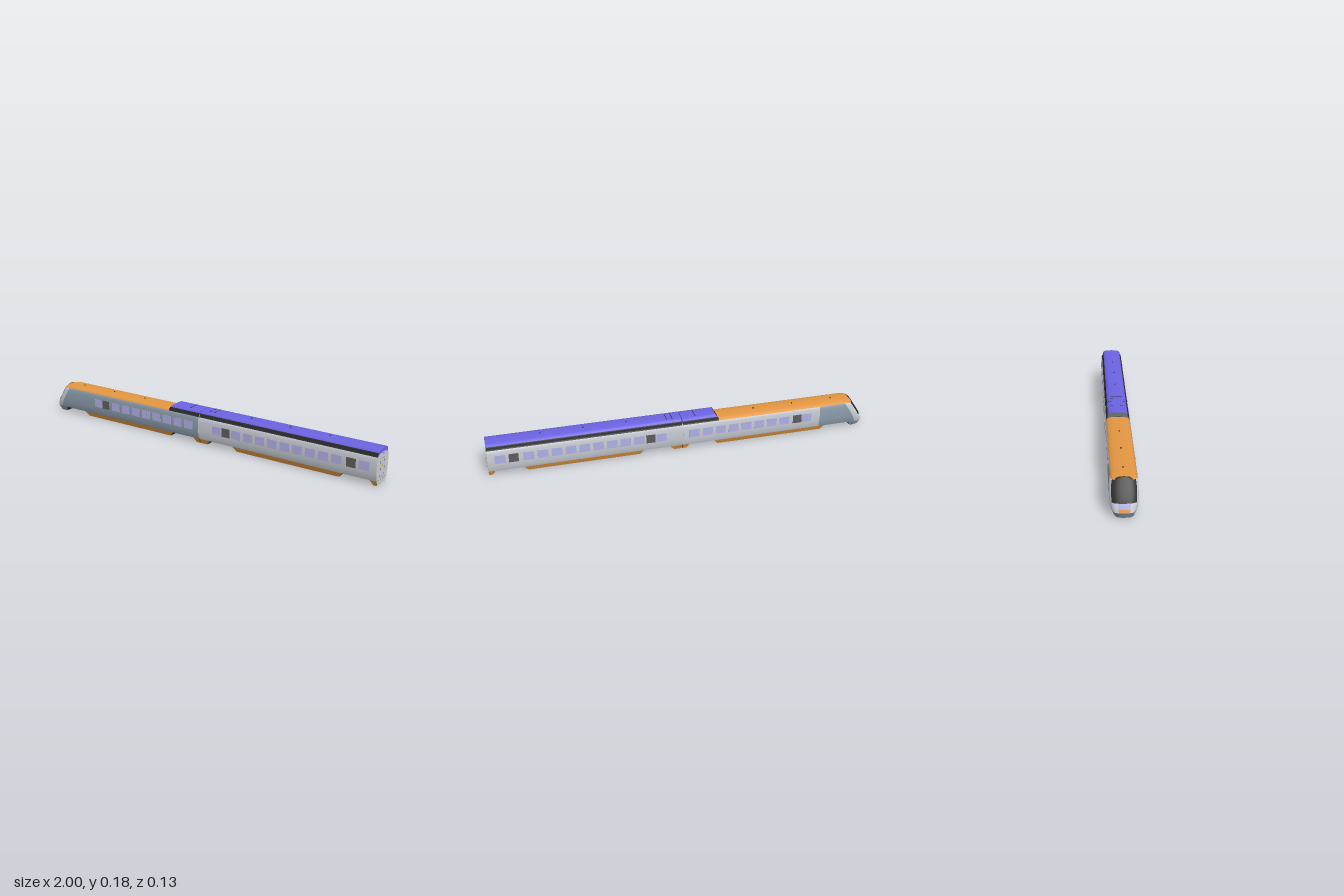
import * as THREE from 'three';
import { toCreasedNormals } from 'three/addons/utils/BufferGeometryUtils.js';

const mat = (name, color) => {
  const m = new THREE.MeshStandardMaterial({ color });
  m.name = name;
  return m;
};
const grey = mat('light grey', 0xc9ced5), slate = mat('slate', 0x8e9eae), orange = mat('orange', 0xe39641);
const purple = mat('purple', 0x6c63e2), black = mat('black', 0x2e2e2e), glass = mat('lavender glass', 0xb0b0e4);
const dark = mat('dark grey', 0x5c5c5c), yellow = mat('yellow', 0xd6c234);

// Lofts a mirrored half profile [z, y] along x.
// place(i, z, y) gives a point, pick(i, k, front, y) a material per strip.
function loft(name, half, stations, place, pick, caps) {
  const m = half.length;
  const ring = [...half, ...half.slice(1, -1).reverse().map(([z, y]) => [-z, y])];
  const n = ring.length;
  const buckets = new Map();
  const add = (material, ...pts) => {
    if (!buckets.has(material)) buckets.set(material, []);
    for (const p of pts) buckets.get(material).push(...p);
  };
  const P = (i, j) => place(i, ring[j % n][0], ring[j % n][1]);
  for (let i = 0; i < stations - 1; i++) {
    for (let j = 0; j < n; j++) {
      const a = P(i, j), b = P(i + 1, j), c = P(i + 1, j + 1), d = P(i, j + 1);
      const y = (ring[j][1] + ring[(j + 1) % n][1]) / 2;
      const material = pick(i, Math.min(j, n - 1 - j), j < m - 1, y);
      add(material, a, b, c, a, c, d);
    }
  }
  [0, stations - 1].forEach((i, e) => {
    if (!caps[e]) return;
    const centre = [0, 0, 0];
    for (let j = 0; j < n; j++) P(i, j).forEach((v, q) => { centre[q] += v / n; });
    for (let j = 0; j < n; j++) {
      if (e) add(caps[e], centre, P(i, j + 1), P(i, j));
      else add(caps[e], centre, P(i, j), P(i, j + 1));
    }
  });
  let geo = new THREE.BufferGeometry();
  const positions = [];
  let group = 0;
  for (const list of buckets.values()) {
    geo.addGroup(positions.length / 3, list.length / 3, group++);
    for (const v of list) positions.push(v);
  }
  geo.setAttribute('position', new THREE.Float32BufferAttribute(positions, 3));
  // creasing compares positions coarsely, so it is done at a larger scale
  geo.scale(100, 100, 100);
  geo = toCreasedNormals(geo, 0.6);
  geo.scale(0.01, 0.01, 0.01);
  const mesh = new THREE.Mesh(geo, [...buckets.keys()]);
  mesh.name = name;
  return mesh;
}

const SIDE = [[0.053, 0.028], [0.058, 0.042], [0.0615, 0.065], [0.063, 0.09], [0.0625, 0.12],
  [0.061, 0.136], [0.058, 0.147], [0.05, 0.154], [0.035, 0.158], [0, 0.16]];
const BODY = [[0, 0.028], ...SIDE];
const NOSE = [[0, 0.002], [0.043, 0.002], ...SIDE];
const SKIRT = [[0, 0.003], [0.043, 0.003], [0.053, 0.028], [0, 0.028]];
const ROOF = [[0, 0.15], [0.053, 0.15], [0.052, 0.16], [0.0495, 0.166], [0.044, 0.173], [0.032, 0.1768], [0, 0.178]];

// Raked front edge of the cab: x at height y.
function tipX(y) {
  const pts = [[0, -0.985], [0.015, -0.998], [0.03, -1], [0.075, -0.98], [0.17, -0.917]];
  for (let i = 1; i < pts.length; i++) {
    const [y0, x0] = pts[i - 1], [y1, x1] = pts[i];
    if (y <= y1) return x0 + (x1 - x0) * (y - y0) / (y1 - y0);
  }
  return pts[pts.length - 1][1];
}

export function createModel() {
  const train = new THREE.Group();
  train.name = 'train';
  const box = (name, material, w, h, d, x, y, z) => {
    const mesh = new THREE.Mesh(new THREE.BoxGeometry(w, h, d), material);
    mesh.name = name;
    mesh.position.set(x, y, z);
    train.add(mesh);
  };

  // rounded nose with windscreen, lamps and lower lip
  const N = 10, LEN = 0.05;
  const nosePoint = (i, z, y) => {
    const a = (1 - i / N) * Math.PI / 2;
    const t = Math.pow(Math.sin(a), 0.7), f = Math.pow(Math.max(0, Math.cos(a)), 0.7);
    return [tipX(y) + LEN * (1 - t), y, z * f];
  };
  train.add(loft('nose', NOSE, N + 1, nosePoint, (i, k, front, y) => {
    if (k === 0) return black;
    if (y > 0.147) return i < 4 ? black : orange;
    if (y > 0.065) return i < 6 ? black : grey;
    if (y > 0.042) return i < 2 ? glass : grey;
    if (y > 0.028) return i < 2 ? orange : grey;
    return slate;
  }, [null, black]));

  // cab car body
  const cabX = [0, -0.74, -0.18, 0.011];
  train.add(loft('cabCarBody', BODY, 4,
    (i, z, y) => [i ? cabX[i] : tipX(y) + LEN, y, z],
    (i, k, front, y) => {
      if (k === 0) return black;
      if (y > 0.147) return i === 2 ? black : orange;
      return front || i === 0 ? slate : grey;
    }, [null, grey]));

  // trailing car body
  train.add(loft('trailingCarBody', BODY, 2, (i, z, y) => [i ? 1 : 0.015, y, z],
    (i, k, front, y) => (k === 0 || y > 0.147 ? black : grey), [grey, grey]));

  // gangway between the cars
  train.add(loft('gangway', BODY, 2, (i, z, y) => [i ? 0.02 : 0.005, y * 0.99, z * 0.97],
    () => grey, [grey, grey]));

  // raised roof fairings
  const fairing = (x0, x1, slope) => train.add(loft('roofFairing', ROOF, 2,
    (i, z, y) => [i ? x1 : x0 + (y - 0.15) * slope, y, z],
    (i, k) => (k < 3 ? black : purple), [black, purple]));
  fairing(-0.185, 0.011, 0.7);
  fairing(0.015, 1, 0);

  // underfloor skirts with bevelled ends
  for (const [x0, x1, bevel0, bevel1, side, cap] of [
    [-0.955, -0.915, 0, 0.012, slate, black], [-0.775, -0.16, 0.02, 0.02, orange, black],
    [-0.025, 0.011, 0.012, 0, orange, black], [0.015, 0.075, 0, 0.02, orange, black],
    [0.215, 0.825, 0.02, 0.02, orange, black], [0.965, 1, 0.015, 0, orange, grey]]) {
    train.add(loft('skirt', SKIRT, 2, (i, z, y) => {
      const low = y < 0.01 ? 1 : 0;
      return [i ? x1 - bevel1 * low : x0 + bevel0 * low, y, z];
    }, (i, k) => (k === 1 ? side : black), [black, cap]));
  }

  // windows and door panes on both sides
  const windows = [-0.665, 0.125, 0.938];
  for (let i = 0; i < 8; i++) windows.push(-0.54 + i * 0.07);
  for (let i = 0; i < 9; i++) windows.push(0.242 + i * 0.0695);
  for (const s of [1, -1]) {
    for (const x of windows) box('window', glass, 0.053, 0.044, 0.004, x, 0.096, s * 0.062);
    for (const x of [-0.612, 0.181, 0.872]) box('doorPane', dark, 0.048, 0.046, 0.004, x, 0.096, s * 0.062);
  }

  // end door outline, sill line and marker on the trailing end
  for (const s of [1, -1]) {
    box('endDoorJamb', dark, 0.002, 0.09, 0.001, 0.9993, 0.085, s * 0.022);
    box('endDoorEdge', dark, 0.002, 0.001, 0.044, 0.9993, 0.085 + s * 0.045, 0);
  }
  box('endSill', dark, 0.002, 0.001, 0.104, 0.9993, 0.028, 0);
  const marker = new THREE.Mesh(new THREE.CylinderGeometry(0.008, 0.008, 0.002, 16), yellow);
  marker.name = 'endMarker';
  marker.rotation.z = Math.PI / 2;
  marker.position.set(0.9993, 0.094, 0);
  train.add(marker);

  // roof aerials and equipment strips
  for (const x of [-0.82, -0.6, -0.385, 0.295, 0.515, 0.73]) {
    const aerial = new THREE.Mesh(new THREE.CylinderGeometry(0.002, 0.005, 0.007, 8), black);
    aerial.name = 'aerial';
    aerial.position.set(x, x < 0 ? 0.162 : 0.18, 0);
    train.add(aerial);
  }
  for (const x of [-0.06, 0.06, 0.09]) box('roofStrip', black, 0.003, 0.002, 0.06, x, 0.1775, 0);
  return train;
}
